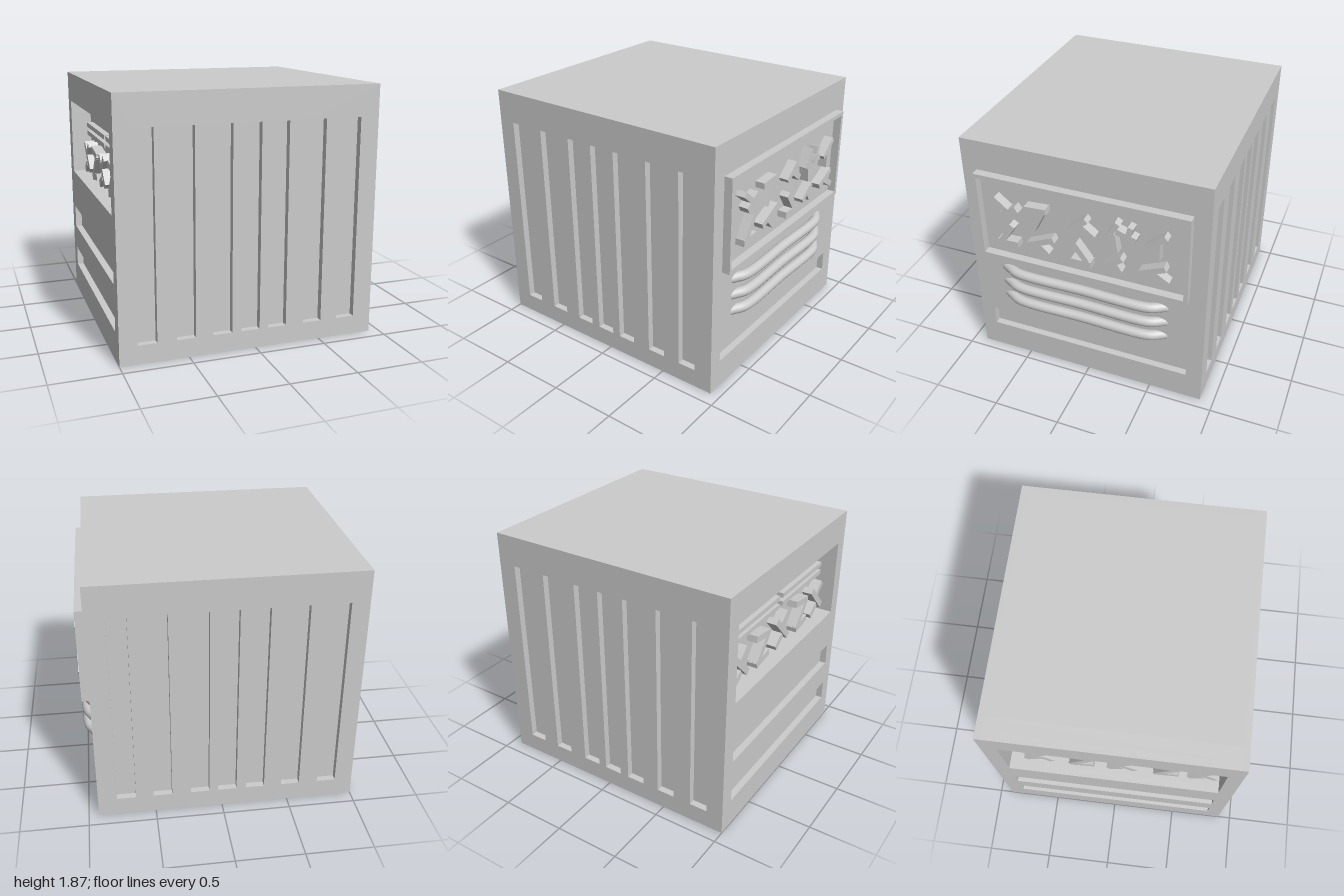
import * as THREE from 'three';

const mat = new THREE.MeshStandardMaterial({ color: 0xcccccc });

// Rectangle outline from [u0, u1, v0, v1]
function rect(Type, [u0, u1, v0, v1]) {
  return new Type([[u0, v0], [u1, v0], [u1, v1], [u0, v1]].map(([u, v]) => new THREE.Vector2(u, v)));
}

// Flat plate with rectangular holes, extruded along +z
function plate(outline, holes, depth) {
  const shape = rect(THREE.Shape, outline);
  shape.holes = holes.map((h) => rect(THREE.Path, h));
  return new THREE.ExtrudeGeometry(shape, { depth, bevelEnabled: false });
}

export function createModel() {
  const model = new THREE.Group();
  const add = (name, geometry, parent = model) => {
    const mesh = new THREE.Mesh(geometry, mat);
    mesh.name = name;
    parent.add(mesh);
    return mesh;
  };
  const box = (name, [x0, x1], [y0, y1], [z0, z1], parent) =>
    add(name, new THREE.BoxGeometry(x1 - x0, y1 - y0, z1 - z0)
      .translate((x0 + x1) / 2, (y0 + y1) / 2, (z0 + z1) / 2), parent);

  const H = 1.87, D = 0.9, L = -1, R = 0.925, cut = 0.05;
  const recess = 0.16;

  // Core behind all the carved faces
  box('core', [L + recess, R - cut], [0, H], [-D + cut, D - cut]);
  box('lowerCore', [L + cut, L + recess], [0, 0.9], [-D + cut, D - cut]);

  // Front and back plates with seven vertical grooves
  const grooves = [-0.8, -0.52, -0.25, -0.04, 0.165, 0.445, 0.715]
    .map((x) => [x - 0.07, x + 0.07, 0.14, 1.64]);
  for (const [name, z] of [['frontPlate', D - cut], ['backPlate', -D]]) {
    add(name, plate([L, R, 0, H], grooves, cut)).position.z = z;
  }

  // Side plates with long slots; u runs along -z
  const side = (name, outline, holes, depth, x) =>
    add(name, plate(outline, holes, depth).rotateY(Math.PI / 2)).position.x = x;
  const face = [-D + cut, D - cut, 0, H];
  const slot = [-0.79, 0.78, 0.215, 0.37];
  side('leftPlate', face, [slot], cut, R - cut);
  side('rightPlate', face, [slot, [-0.79, 0.78, 0.56, 0.735], [-0.79, 0.78, 1.045, 1.64]], cut, L);
  side('recessWalls', [-D + cut, D - cut, 0.9, H], [[-0.79, 0.78, 1.045, 1.64]], recess - cut, L + cut);

  // Raised sign frame
  side('signFrame', [-0.79, 0.78, 0.94, 1.64], [[-0.77, 0.75, 0.97, 1.61]], 0.06, R);

  // Raised stroke between two (z, y) points on a side face
  function stroke(parent, x0, x1, [za, ya, zb, yb, width]) {
    const length = Math.hypot(zb - za, yb - ya);
    const mesh = add('stroke', new THREE.BoxGeometry(x1 - x0, width, length), parent);
    mesh.position.set((x0 + x1) / 2, (ya + yb) / 2, (za + zb) / 2);
    mesh.rotation.x = -Math.atan2(yb - ya, zb - za);
  }

  // Abstract marks inside the sign frame: z, y, z, y, width
  const marks = new THREE.Group();
  marks.name = 'signMarks';
  model.add(marks);
  [
    [0.60, 1.34, 0.47, 1.42, 0.05], [0.645, 1.475, 0.53, 1.38, 0.04],
    [0.405, 1.445, 0.243, 1.455, 0.045], [0.275, 1.45, 0.36, 1.28, 0.05],
    [0.07, 1.36, -0.055, 1.46, 0.04], [0, 1.41, -0.105, 1.33, 0.045],
    [-0.205, 1.36, -0.28, 1.495, 0.04], [-0.24, 1.40, -0.26, 1.25, 0.045],
    [-0.27, 1.43, -0.41, 1.385, 0.045], [-0.375, 1.485, -0.34, 1.36, 0.04],
    [-0.48, 1.355, -0.62, 1.465, 0.04], [-0.555, 1.41, -0.553, 1.26, 0.05],
    [0.637, 1.11, 0.48, 1.115, 0.05], [0.515, 1.27, 0.61, 1.12, 0.045],
    [0.40, 1.14, 0.20, 1.23, 0.045], [0.33, 1.17, 0.25, 1.09, 0.04],
    [0.07, 1.09, -0.08, 1.09, 0.05], [0.045, 1.245, -0.05, 1.11, 0.045],
    [-0.175, 1.11, -0.31, 1.205, 0.04], [-0.25, 1.16, -0.295, 1.09, 0.04],
    [-0.44, 1.13, -0.62, 1.21, 0.045], [-0.53, 1.155, -0.64, 1.085, 0.045],
  ].forEach((s) => stroke(marks, R - 0.01, 0.996, s));

  // Three rounded bars whose ends dive into the wall
  for (const y of [0.81, 0.678, 0.55]) {
    const path = new THREE.CatmullRomCurve3([
      [0.87, 0.005, 0.69], [0.92, 0.005, 0.605], [0.955, 0.004, 0.53], [0.958, 0, 0.02],
      [0.955, -0.004, -0.49], [0.92, -0.005, -0.565], [0.87, -0.005, -0.65],
    ].map(([x, dy, z]) => new THREE.Vector3(x, y + dy, z)));
    add('roundBar', new THREE.TubeGeometry(path, 60, 0.038, 20));
  }

  // Recess on the other side: two pairs of thin rails above large marks
  const back = L + recess;
  for (const [z0, z1] of [[-0.68, 0.04], [0.09, 0.76]]) {
    for (const y of [1.385, 1.45]) box('recessRail', [back - 0.05, back], [y - 0.018, y + 0.018], [z0, z1]);
  }
  const recessMarks = new THREE.Group();
  recessMarks.name = 'recessMarks';
  model.add(recessMarks);
  const shapes = [
    [[-0.1, 0.1, 0.1, -0.1, 0.05], [-0.02, 0.02, 0.08, 0.11, 0.05], [-0.1, -0.12, 0, -0.05, 0.05]],
    [[-0.1, 0.1, 0.1, 0.07, 0.05], [0.09, 0.08, -0.07, -0.12, 0.05], [-0.08, -0.12, 0.1, -0.09, 0.05]],
  ];
  [-0.56, -0.25, 0.06, 0.38, 0.66].forEach((z, i) => {
    for (const [za, ya, zb, yb, w] of shapes[i % 2]) {
      stroke(recessMarks, back - 0.08, back, [z + za, 1.2 + ya, z + zb, 1.2 + yb, w]);
    }
  });

  return model;
}
